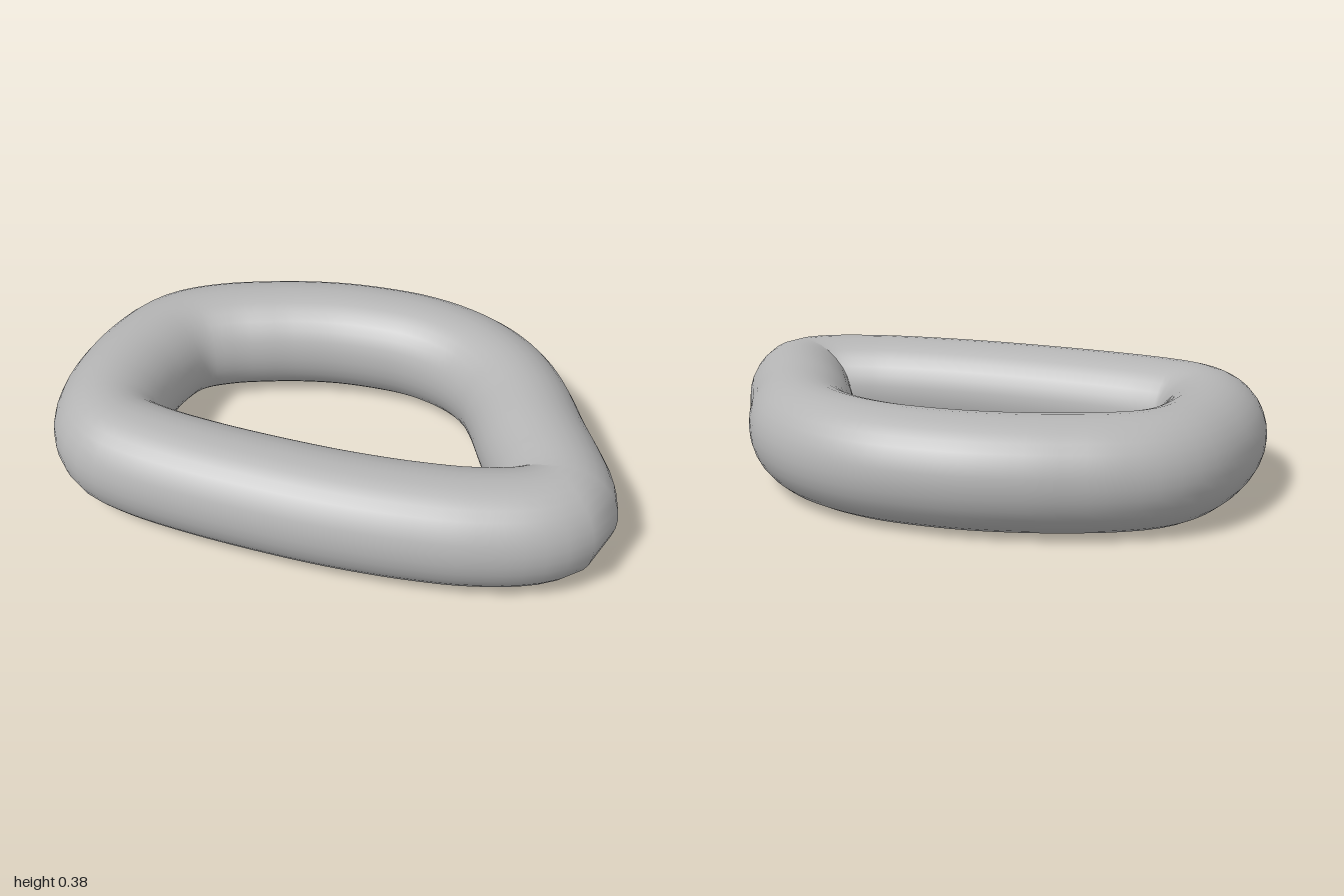
import * as THREE from 'three';

export function createModel() {
  const group = new THREE.Group();
  const grey = new THREE.MeshStandardMaterial({ color: 0xb4b4b4 });
  grey.name = 'grey';

  // Centre line of the ring as [x, z], clockwise from the middle of the back
  const radius = 0.19;
  const path = [
    [0, -0.49], [0.12, -0.485], [0.25, -0.455], [0.37, -0.4], [0.48, -0.31], [0.56, -0.2],
    [0.65, -0.03], [0.73, 0.11], [0.785, 0.22], [0.798, 0.29], [0.735, 0.36],
    [0.56, 0.428], [0.37, 0.462], [0.15, 0.481], [-0.05, 0.485], [-0.35, 0.475],
    [-0.57, 0.45], [-0.685, 0.415], [-0.76, 0.34], [-0.8, 0.22], [-0.81, 0.1],
    [-0.8, -0.03], [-0.76, -0.18], [-0.7, -0.265], [-0.58, -0.345], [-0.46, -0.396],
    [-0.35, -0.435], [-0.18, -0.475],
  ];
  const curve = new THREE.CatmullRomCurve3(
    path.map(([x, z]) => new THREE.Vector3(x, radius, z)), true, 'centripetal');

  // Thick round tube swept along the closed loop
  const ring = new THREE.Mesh(new THREE.TubeGeometry(curve, 96, radius, 32, true), grey);
  ring.name = 'ring';
  group.add(ring);
  return group;
}
